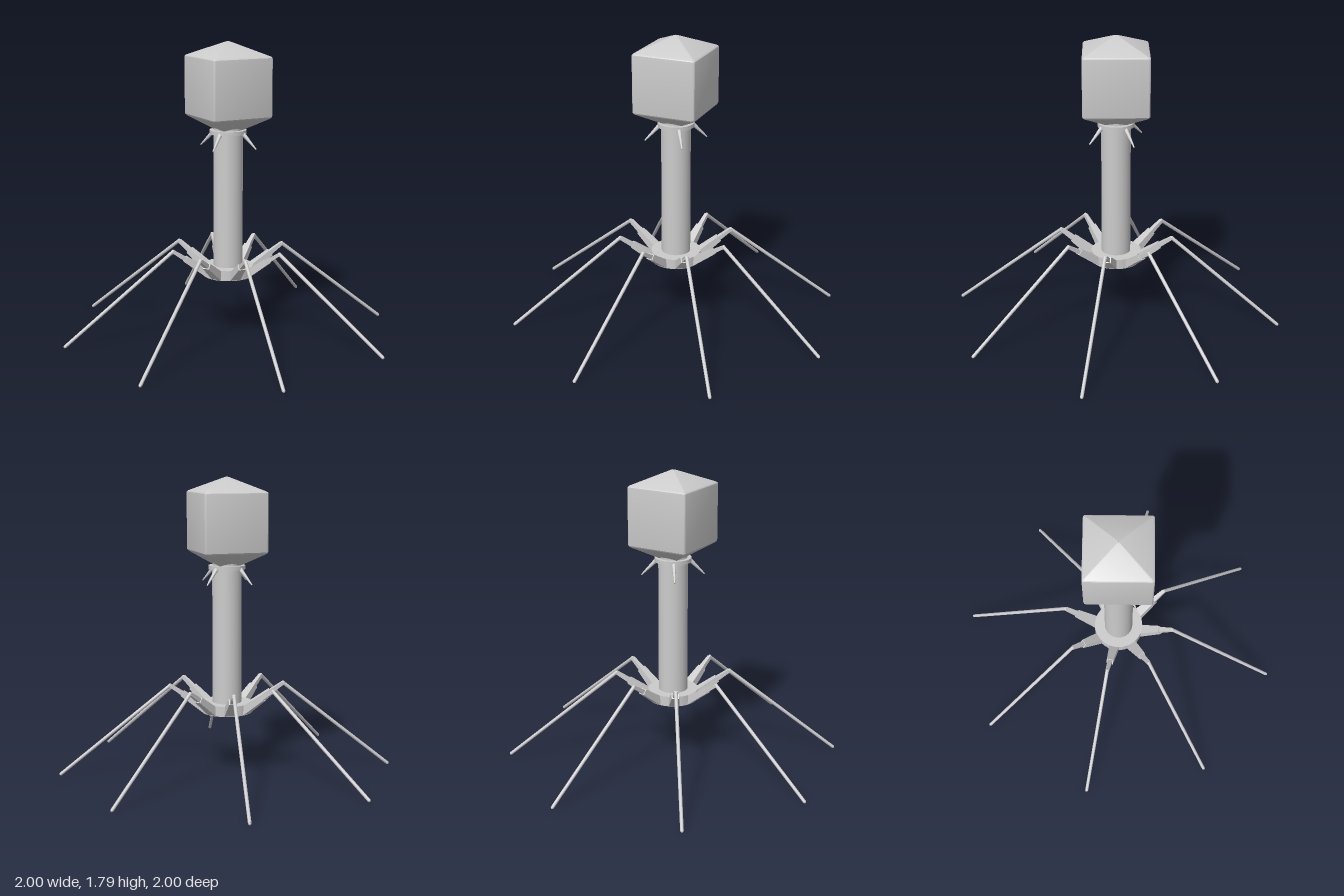
import * as THREE from 'three';
import { toCreasedNormals } from 'three/addons/utils/BufferGeometryUtils.js';

const grey = new THREE.MeshStandardMaterial({ color: 0xcccccc });
const UP = new THREE.Vector3(0, 1, 0);

function add(parent, name, geometry) {
  const mesh = new THREE.Mesh(geometry, grey);
  mesh.name = name;
  parent.add(mesh);
  return mesh;
}

// Upright cylinder between two heights
function drum(parent, name, radius, y0, y1) {
  add(parent, name, new THREE.CylinderGeometry(radius, radius, y1 - y0, 48)).position.y = (y0 + y1) / 2;
}

// Round tapered rod from a to b
function rod(parent, name, a, b, ra, rb) {
  const dir = b.clone().sub(a);
  const mesh = add(parent, name, new THREE.CylinderGeometry(rb, ra, dir.length(), 12));
  mesh.position.copy(a).add(b).multiplyScalar(0.5);
  mesh.quaternion.setFromUnitVectors(UP, dir.normalize());
}

// Tapered box from a to b; sizes are [width, depth] at each end
function taperedBox(parent, name, a, b, sizeA, sizeB) {
  const dir = b.clone().sub(a);
  const geometry = new THREE.BoxGeometry(1, dir.length(), 1);
  const p = geometry.attributes.position;
  for (let i = 0; i < p.count; i++) {
    const [w, d] = p.getY(i) > 0 ? sizeB : sizeA;
    p.setX(i, p.getX(i) * d);
    p.setZ(i, p.getZ(i) * w);
  }
  geometry.computeVertexNormals();
  const mesh = add(parent, name, geometry);
  mesh.position.copy(a).add(b).multiplyScalar(0.5);
  mesh.quaternion.setFromUnitVectors(UP, dir.normalize());
}

// Rounded-square rings stacked by [half width, height]
function headGeometry(profile) {
  const steps = 4, n = 4 * (steps + 1);
  const positions = [], index = [];
  for (const [half, y] of profile) {
    const r = half * 0.07;
    for (let c = 0; c < 4; c++) {
      const mid = Math.PI / 4 + c * Math.PI / 2;
      const cx = Math.sign(Math.cos(mid)) * (half - r);
      const cz = Math.sign(Math.sin(mid)) * (half - r);
      for (let s = 0; s <= steps; s++) {
        const a = (c + s / steps) * Math.PI / 2;
        positions.push(cx + r * Math.cos(a), y, cz + r * Math.sin(a));
      }
    }
  }
  for (let k = 0; k < profile.length - 1; k++) {
    for (let i = 0; i < n; i++) {
      const a = k * n + i, b = k * n + (i + 1) % n;
      index.push(a, a + n, b, b, a + n, b + n);
    }
  }
  const geometry = new THREE.BufferGeometry();
  geometry.setAttribute('position', new THREE.Float32BufferAttribute(positions, 3));
  geometry.setIndex(index);
  return toCreasedNormals(geometry, 0.3);
}

export function createModel() {
  const model = new THREE.Group();
  const at = (r, y) => new THREE.Vector3(r, y, 0);

  // Head: softened cube with shallow pyramids above and below
  add(model, 'head', headGeometry([
    [0.001, 1.225], [0.184, 1.338], [0.190, 1.343], [0.194, 1.350], [0.195, 1.358],
    [0.195, 1.688], [0.194, 1.695], [0.190, 1.700], [0.184, 1.704], [0.010, 1.784], [0.001, 1.786],
  ]));

  // Central column
  drum(model, 'neck', 0.085, 1.25, 1.277);
  drum(model, 'collar', 0.11, 1.24, 1.264);
  drum(model, 'tube', 0.088, 0.40, 1.25);
  drum(model, 'basePlate', 0.152, 0.37, 0.432);

  for (let i = 0; i < 8; i++) {
    const turn = -(11.25 + 45 * i) * Math.PI / 180;

    // Leg: two-step upper part, knee and thin lower part
    const leg = new THREE.Group();
    leg.name = 'leg' + (i + 1);
    leg.rotation.y = turn;
    const hip = at(0.135, 0.392), mid = at(0.27, 0.488), knee = at(0.345, 0.539), foot = at(1.01, 0.009);
    taperedBox(leg, 'thigh', hip, mid, [0.064, 0.05], [0.042, 0.036]);
    taperedBox(leg, 'shin', mid, knee, [0.03, 0.026], [0.022, 0.02]);
    rod(leg, 'lowerLeg', knee, foot, 0.011, 0.01);
    add(leg, 'kneeJoint', new THREE.SphereGeometry(0.012, 12, 8)).position.copy(knee);
    add(leg, 'foot', new THREE.SphereGeometry(0.009, 12, 8)).position.copy(foot);
    model.add(leg);

    // Whiskers hang from the collar above every second leg
    if (i % 2 === 1) {
      const whisker = new THREE.Group();
      whisker.name = 'whisker' + (i + 1) / 2;
      whisker.rotation.y = turn;
      rod(whisker, 'whiskerSpike', at(0.095, 1.25), at(0.187, 1.158), 0.014, 0.004);
      model.add(whisker);
    }
  }
  return model;
}
